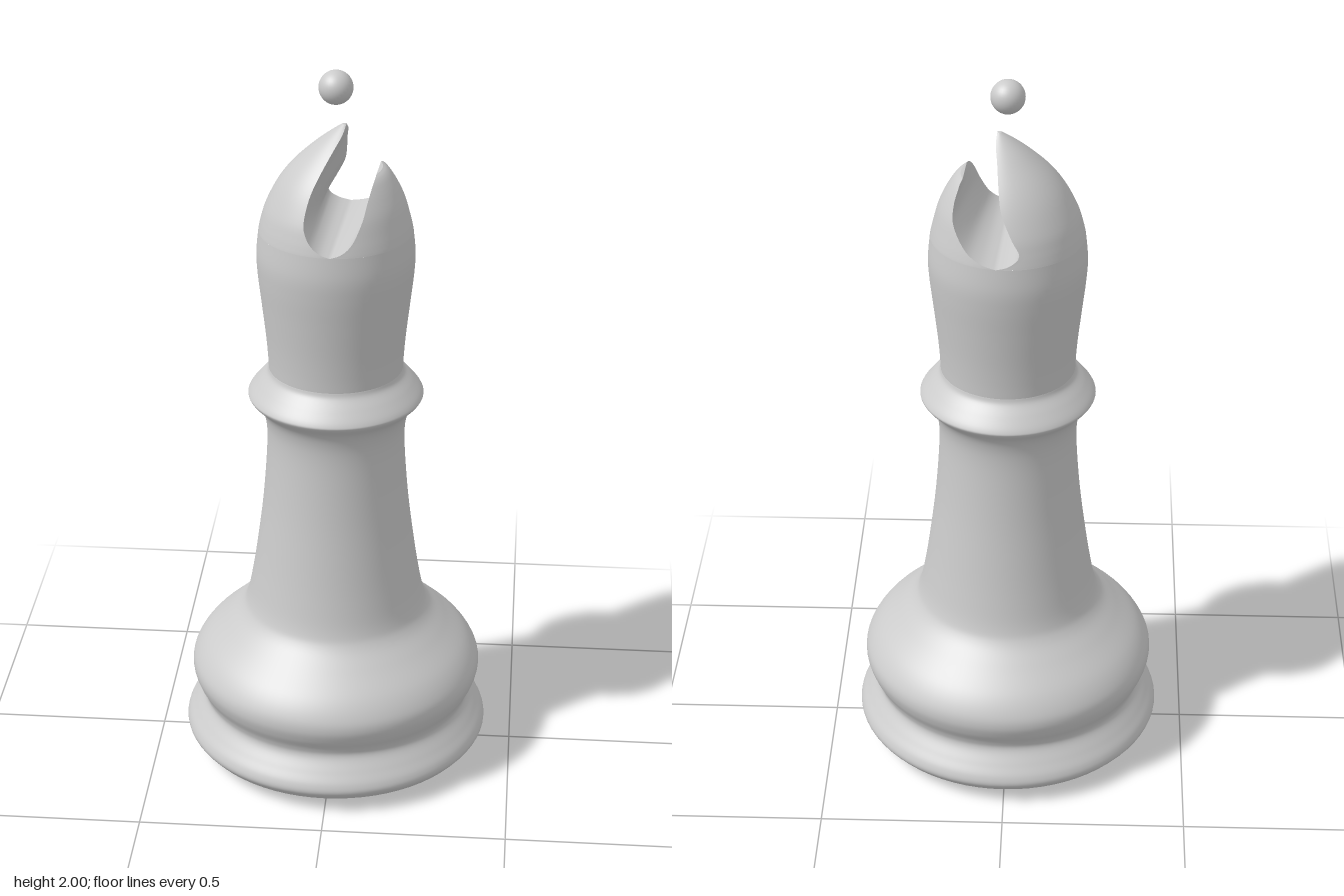
import * as THREE from 'three';

const material = new THREE.MeshStandardMaterial({ color: 0xcccccc });
const thinMaterial = new THREE.MeshStandardMaterial({ color: 0xcccccc, side: THREE.DoubleSide });

const STEPS = 32; // rows up the split head
const COLS = 40;  // points along each row

// Smooth curve through [radius, height] points
function smooth(points, count) {
  return new THREE.SplineCurve(points.map(([x, y]) => new THREE.Vector2(x, y))).getPoints(count);
}

// Surface over equal-length rows of points
function grid(rows) {
  const cols = rows[0].length;
  const index = [];
  for (let i = 0; i < rows.length - 1; i++) {
    for (let j = 0; j < cols - 1; j++) {
      const a = i * cols + j, b = a + cols;
      index.push(a, b, a + 1, a + 1, b, b + 1);
    }
  }
  const geometry = new THREE.BufferGeometry().setFromPoints(rows.flat());
  geometry.setIndex(index);
  geometry.computeVertexNormals();
  return geometry;
}

// One half of the split head. Sections: [y, radius, centreX, frontCutX, backCutX].
// Returns the rows of the round outside and of the cut wall (front to back).
function headHalf(sections, isLeft) {
  const curves = [1, 2, 3, 4].map((k) => smooth(sections.map((s) => [s[k], s[0]]), STEPS));
  const outer = [], wall = [];
  for (let i = 0; i <= STEPS; i++) {
    const [r, cx, front, back] = curves.map((c) => c[i].x);
    const y = curves[0][i].y;
    const angle = (x) => Math.acos(THREE.MathUtils.clamp((x - cx) / r, -1, 1));
    const start = isLeft ? angle(front) : -angle(back);
    const end = isLeft ? Math.PI * 2 - angle(back) : angle(front);
    const arc = [];
    for (let j = 0; j <= COLS; j++) {
      const a = THREE.MathUtils.lerp(start, end, j / COLS);
      arc.push(new THREE.Vector3(cx + r * Math.cos(a), y, r * Math.sin(a)));
    }
    const p = arc[isLeft ? 0 : COLS], q = arc[isLeft ? COLS : 0];
    outer.push(arc);
    wall.push(arc.map((_, j) => p.clone().lerp(q, j / COLS)));
  }
  return { outer, wall };
}

export function createModel() {
  const group = new THREE.Group();
  const add = (name, geometry, mat = material) => {
    const mesh = new THREE.Mesh(geometry, mat);
    mesh.name = name;
    group.add(mesh);
    return mesh;
  };

  // Slightly domed underside
  add('underside', new THREE.LatheGeometry(
    smooth([[0, 0], [0.2, 0.006], [0.35, 0.02], [0.405, 0.04]], 12), 72));

  // Foot, waist, stem and collar
  add('baseAndStem', new THREE.LatheGeometry(smooth([
    [0.405, 0.04], [0.424, 0.065], [0.42, 0.09], [0.4, 0.12], [0.377, 0.155], [0.379, 0.18],
    [0.396, 0.215], [0.405, 0.25], [0.398, 0.285], [0.368, 0.33], [0.31, 0.385], [0.265, 0.43],
    [0.246, 0.47], [0.23, 0.55], [0.215, 0.65], [0.2, 0.77], [0.19, 0.89], [0.187, 0.97],
    [0.192, 1.02], [0.206, 1.055], [0.234, 1.085], [0.234, 1.1], [0.21, 1.13], [0.187, 1.155],
    [0.181, 1.17],
  ], 150), 72));

  // Swelling lower head, up to the floor of the cut
  add('lowerHead', new THREE.LatheGeometry(smooth([
    [0.181, 1.17], [0.183, 1.21], [0.188, 1.27], [0.198, 1.36], [0.207, 1.44], [0.21, 1.5], [0.204, 1.565],
  ], 40), 72));

  // Tall pointed half and short rounded half on either side of the cut
  const tall = headHalf([
    [1.565, 0.204, 0, 0, 0.025],
    [1.575, 0.202, 0, -0.03, -0.01],
    [1.6, 0.196, 0, -0.057, -0.035],
    [1.64, 0.184, 0.001, -0.07, -0.015],
    [1.7, 0.155, 0.003, -0.058, 0.012],
    [1.75, 0.121, 0.008, -0.035, 0.02],
    [1.8, 0.074, 0.014, -0.005, 0.025],
    [1.835, 0.034, 0.018, 0.018, 0.03],
    [1.857, 0.006, 0.022, 0.027, 0.027],
  ], true);
  const short = headHalf([
    [1.565, 0.204, 0, 0, 0.025],
    [1.575, 0.202, 0, 0.03, 0.065],
    [1.6, 0.196, 0, 0.057, 0.105],
    [1.65, 0.182, 0, 0.08, 0.136],
    [1.69, 0.164, 0, 0.091, 0.136],
    [1.72, 0.146, 0, 0.1, 0.127],
    [1.735, 0.133, 0, 0.106, 0.121],
    [1.742, 0.122, 0, 0.109, 0.115],
  ], false);
  add('tallHeadHalf', grid(tall.outer));
  add('shortHeadHalf', grid(short.outer));

  // Cut: tall wall, rounded floor, short wall, with the crests closed
  add('headCut', grid([
    tall.outer[STEPS],
    ...tall.wall.slice().reverse(),
    ...short.wall.slice(1),
    short.outer[STEPS].slice().reverse(),
  ]), thinMaterial);

  // Floating ball
  add('topBall', new THREE.SphereGeometry(0.045, 32, 20)).position.y = 1.955;

  return group;
}
